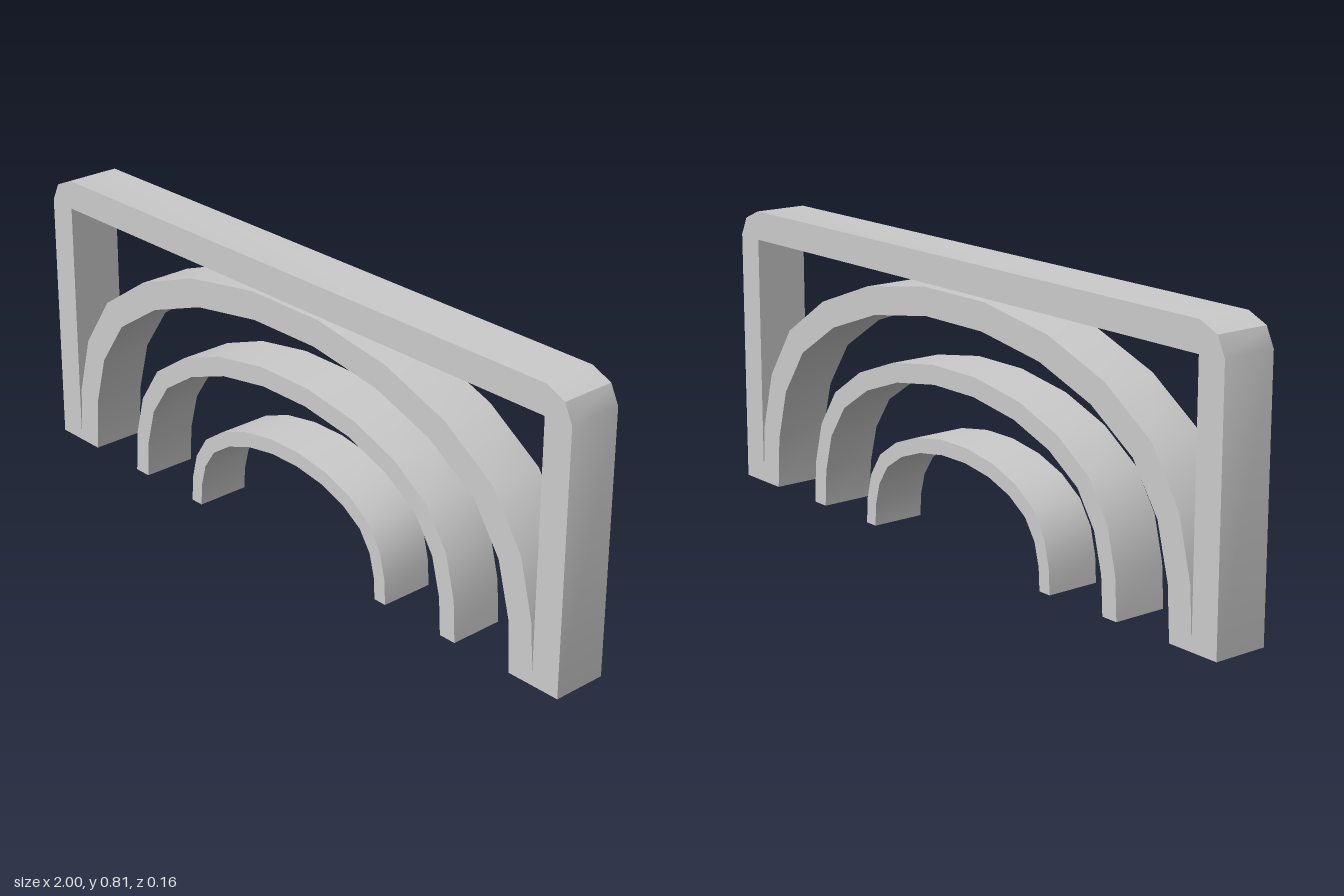
import * as THREE from 'three';
import { toCreasedNormals } from 'three/addons/utils/BufferGeometryUtils.js';

const DEPTH = 0.158;
const material = new THREE.MeshStandardMaterial({ color: 0xcccccc });

// Right half of an arch, from foot to crown, for a unit radius and height
const ARCH = [[1, 0], [0.989, 0.233], [0.941, 0.468], [0.833, 0.676],
  [0.648, 0.834], [0.415, 0.943], [0.139, 1]];

// Right half of the frame's outer edge, with a chamfered corner
const FRAME = [[1, 0], [1, 0.735], [0.975, 0.787], [0.915, 0.813]];
const OPENING = [[0.915, 0], [0.915, 0.73]];

const scaled = (points, sx, sy) => points.map(([x, y]) => [x * sx, y * sy]);
const mirrored = (half) => [...half, ...half.map(([x, y]) => [-x, y]).reverse()];

// Band between two mirrored half outlines, extruded through the depth
function band(name, outerHalf, innerHalf) {
  const outline = [...mirrored(outerHalf), ...mirrored(innerHalf).reverse()];
  const shape = new THREE.Shape(outline.map(([x, y]) => new THREE.Vector2(x, y)));
  const geometry = new THREE.ExtrudeGeometry(shape, { depth: DEPTH, bevelEnabled: false });
  geometry.translate(0, 0, -DEPTH / 2);
  const mesh = new THREE.Mesh(toCreasedNormals(geometry, 0.52), material);
  mesh.name = name;
  return mesh;
}

export function createModel() {
  const group = new THREE.Group();
  group.name = 'archedFrame';

  group.add(band('frame', FRAME, OPENING));

  // Nested arches: outer half-width and height, inner half-width and height
  const arches = [
    ['largeArch', 0.916, 0.72, 0.838, 0.641],
    ['middleArch', 0.649, 0.514, 0.597, 0.46],
    ['smallArch', 0.395, 0.315, 0.355, 0.273],
  ];
  for (const [name, ow, oh, iw, ih] of arches) {
    group.add(band(name, scaled(ARCH, ow, oh), scaled(ARCH, iw, ih)));
  }
  return group;
}
